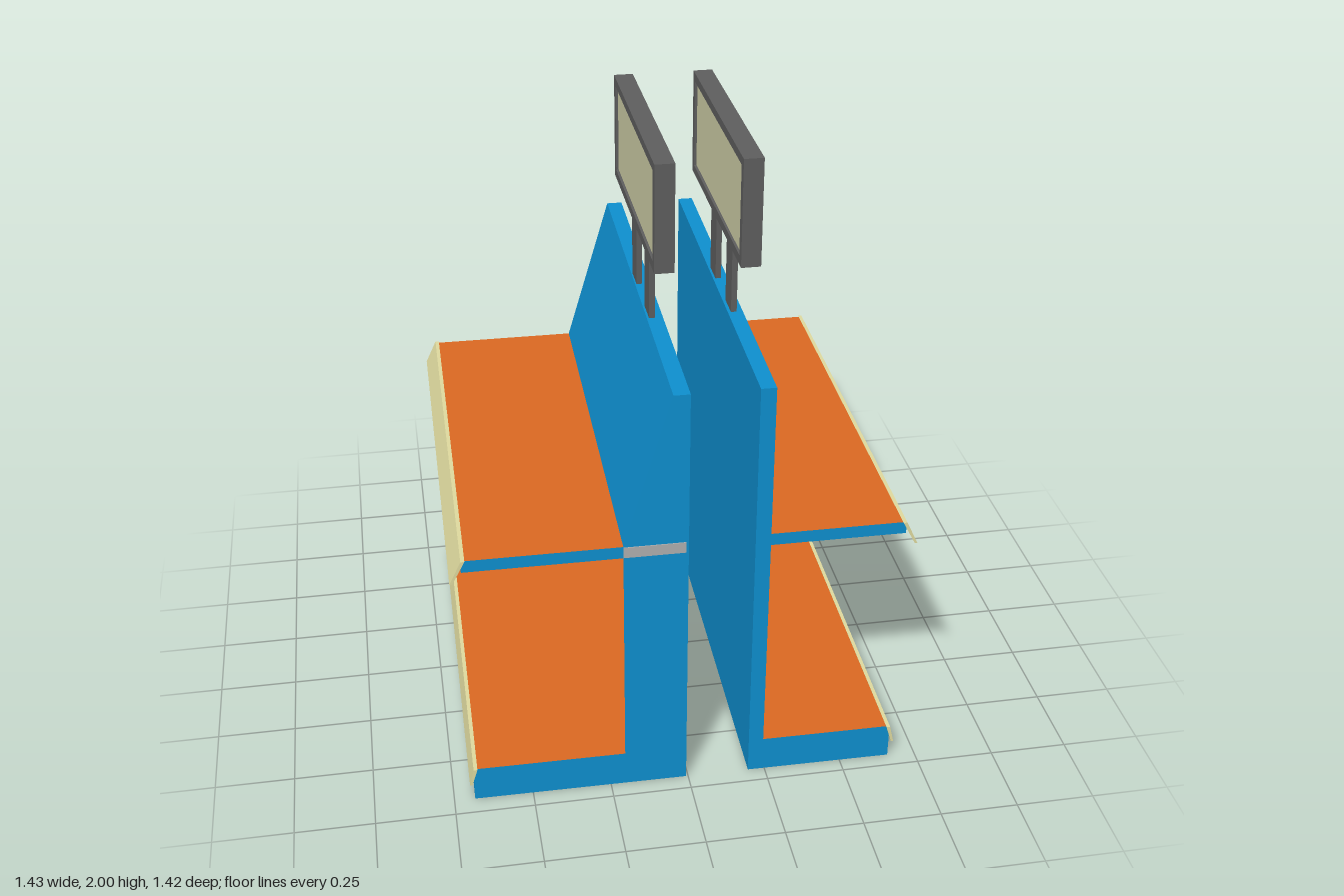
import * as THREE from 'three';

const mat = (name, color) => Object.assign(new THREE.MeshStandardMaterial({ color }), { name });

export function createModel() {
  const blue = mat('blue', 0x0e90d0);
  const orange = mat('orange', 0xdd6a22);
  const cream = mat('cream', 0xe0dba0);
  const panelTan = mat('panel', 0xd0d0a8);
  const frameGrey = mat('frameGrey', 0x5f5f5f);
  const paleGrey = mat('paleGrey', 0xb0b0b0);

  const model = new THREE.Group();
  model.name = 'shelfDisplay';
  const L = 0.695; // half length along z

  // Box given by its minimum and maximum on each axis
  function box(parent, name, material, x0, x1, y0, y1, z0, z1) {
    const g = new THREE.BoxGeometry(Math.abs(x1 - x0), y1 - y0, z1 - z0);
    const m = new THREE.Mesh(g, material);
    m.position.set((x0 + x1) / 2, (y0 + y1) / 2, (z0 + z1) / 2);
    m.name = name;
    parent.add(m);
    return m;
  }

  const shapeOf = (pts) => new THREE.Shape(pts.map(([x, y]) => new THREE.Vector2(x, y)));

  // Profile in x, y pulled along z
  function prism(parent, name, material, pts, half) {
    const g = new THREE.ExtrudeGeometry(shapeOf(pts), { depth: 2 * half, bevelEnabled: false });
    g.translate(0, 0, -half);
    const m = new THREE.Mesh(g, material);
    m.name = name;
    parent.add(m);
  }

  // Hollow base, shelf and price lips; s is the side, inner the wall face
  function shelves(parent, s, inner, outer, underside) {
    const t = 0.025;
    const faces = (top, bottom) => [blue, blue, top, bottom, blue, blue];
    box(parent, 'baseDeck', faces(orange, orange), s * inner, s * outer, 0.11, 0.12, -L, L);
    box(parent, 'baseFront', blue, s * (outer - t), s * outer, 0, 0.11, -L, L);
    for (const e of [-1, 1]) {
      const z = e * (L - t / 2);
      box(parent, 'baseEnd', blue, s * inner, s * (outer - t), 0, 0.11, z - t / 2, z + t / 2);
    }
    box(parent, 'shelf', faces(orange, underside), s * inner, s * outer, 0.87, 0.91, -L, L);
    // Slanted lips
    for (const [top, drop, out] of [[0.912, 0.077, 0.036], [0.122, 0.06, 0.014]]) {
      const a = outer - 0.012;
      prism(parent, 'priceLip', cream, [
        [s * a, top], [s * (a + 0.012), top],
        [s * (outer + out), top - drop], [s * (outer + out - 0.008), top - drop],
      ], L + 0.007);
    }
  }

  const units = new THREE.Group();
  units.name = 'shelfUnits';
  units.rotation.y = -0.0095;
  model.add(units);

  // Thin-walled unit on +x
  const thin = new THREE.Group();
  thin.name = 'thinUnit';
  units.add(thin);
  box(thin, 'wall', blue, 0.203, 0.25, 0, 1.41, -L, L);
  shelves(thin, 1, 0.25, 0.668, paleGrey);
  box(thin, 'baseEndStrip', paleGrey, 0.25, 0.66, 0.085, 0.118, -L - 0.003, -L);
  box(thin, 'wallEndStrip', paleGrey, 0.205, 0.25, 0.87, 0.905, -L - 0.003, -L);

  // Deep unit on -x with a sloping upper wall and open lower back
  const deep = new THREE.Group();
  deep.name = 'deepUnit';
  units.add(deep);
  box(deep, 'wall', blue, -0.04, 0, 0, 1.41, -L, L);
  shelves(deep, -1, 0.04, 0.678, orange);
  prism(deep, 'slopingWall', blue,
    [[-0.04, 0.91], [-0.04, 1.41], [-0.05, 1.41], [-0.197, 0.91]], L);
  const frontEnd = new THREE.Mesh(new THREE.ShapeGeometry(
    shapeOf([[-0.197, 0.12], [-0.04, 0.12], [-0.04, 0.87], [-0.197, 0.87]])), blue);
  frontEnd.name = 'frontEndPanel';
  frontEnd.position.z = L;
  deep.add(frontEnd);
  const backEnd = new THREE.Mesh(new THREE.ShapeGeometry(
    shapeOf([[0.04, 0.12], [0.197, 0.87], [0.04, 0.87]])), blue);
  backEnd.name = 'backEndPanel';
  backEnd.rotation.y = Math.PI;
  backEnd.position.z = -L;
  deep.add(backEnd);
  for (const z of [-L - 0.003, L]) {
    box(deep, 'endStrip', paleGrey, -0.197, -0.008, 0.872, 0.908, z, z + 0.003);
  }

  // Signs on two flat posts, one above each wall
  for (const x of [-0.036, 0.22]) {
    const sign = new THREE.Group();
    sign.name = 'sign';
    model.add(sign);
    box(sign, 'post', frameGrey, x - 0.009, x + 0.009, 1.39, 1.67, 0.12, 0.205);
    box(sign, 'post', frameGrey, x - 0.009, x + 0.009, 1.39, 1.67, -0.122, -0.038);
    const y0 = 1.662, y1 = 2, z0 = -0.342, z1 = 0.422, b = 0.028;
    const rim = shapeOf([[z0, y0], [z1, y0], [z1, y1], [z0, y1]]);
    rim.holes.push(new THREE.Path([
      [z0 + b, y0 + b], [z0 + b, y1 - b], [z1 - b, y1 - b], [z1 - b, y0 + b],
    ].map(([z, y]) => new THREE.Vector2(z, y))));
    const g = new THREE.ExtrudeGeometry(rim, { depth: 0.06, bevelEnabled: false });
    g.translate(0, 0, -0.03);
    g.scale(-1, 1, 1).rotateY(Math.PI / 2);
    // The mirror above flips the winding, so turn each triangle back
    const p = g.attributes.position;
    for (let i = 0; i < p.count; i += 3) {
      const a = new THREE.Vector3().fromBufferAttribute(p, i + 1);
      const c = new THREE.Vector3().fromBufferAttribute(p, i + 2);
      p.setXYZ(i + 1, c.x, c.y, c.z);
      p.setXYZ(i + 2, a.x, a.y, a.z);
    }
    g.computeVertexNormals();
    const frame = new THREE.Mesh(g, frameGrey);
    frame.name = 'signFrame';
    frame.position.x = x;
    sign.add(frame);
    box(sign, 'signPanel', panelTan, x - 0.022, x + 0.022, y0 + b, y1 - b, z0 + b, z1 - b);
  }
  return model;
}
